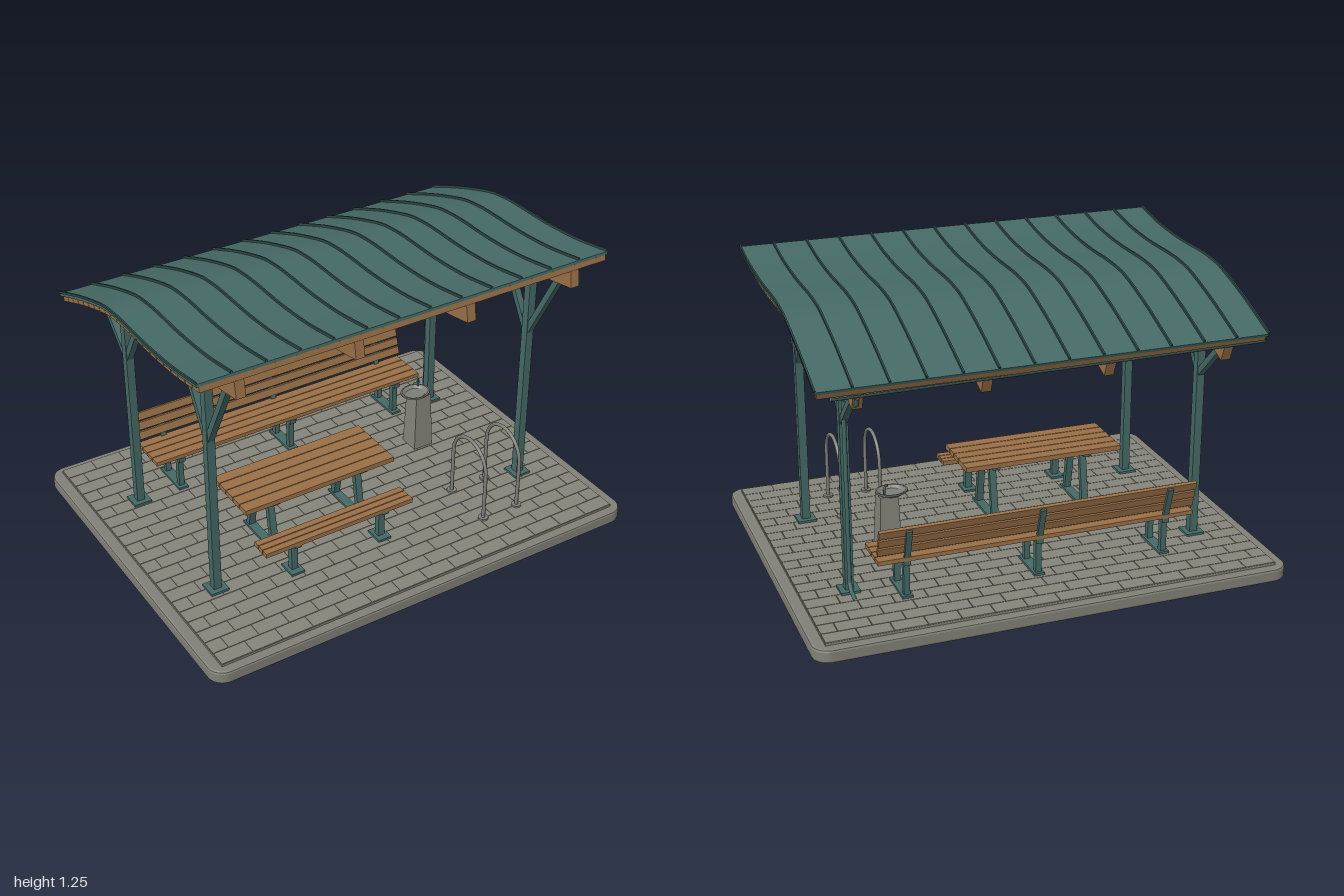
import * as THREE from 'three';
import { mergeGeometries, toCreasedNormals } from 'three/addons/utils/BufferGeometryUtils.js';

const paint = (name, color, side = THREE.FrontSide) => {
  const m = new THREE.MeshStandardMaterial({ color, side });
  m.name = name;
  return m;
};
const V = (x, y, z) => new THREE.Vector3(x, y, z);

export function createModel() {
  const teal = paint('teal steel', 0x466a66);
  const tealSheet = paint('gutter teal', 0x466a66, THREE.DoubleSide);
  const seamTeal = paint('dark seam teal', 0x2f4d4a);
  const wood = paint('wood', 0x9a7147);
  const stone = paint('paving', 0x86857b);
  const curb = paint('kerb concrete', 0x828178);
  const metal = paint('brushed metal', 0x7c7e78);
  const dark = paint('dark metal', 0x4c5350);

  const root = new THREE.Group();
  root.name = 'picnicShelter';
  const group = (name) => {
    const g = new THREE.Group();
    g.name = name;
    root.add(g);
    return g;
  };
  const add = (parent, name, geo, mat, x = 0, y = 0, z = 0) => {
    const m = new THREE.Mesh(geo, mat);
    m.name = name;
    m.position.set(x, y, z);
    parent.add(m);
    return m;
  };
  const box = (p, name, mat, w, h, d, x, y, z) =>
    add(p, name, new THREE.BoxGeometry(w, h, d), mat, x, y, z);
  // straight bar from a to b, w wide in x, d thick
  const bar = (p, name, mat, a, b, w, d) => {
    const dir = b.clone().sub(a);
    const m = add(p, name, new THREE.BoxGeometry(w, dir.length(), d), mat);
    m.position.copy(a).add(b).multiplyScalar(0.5);
    m.quaternion.setFromUnitVectors(V(0, 1, 0), dir.normalize());
    return m;
  };
  const tube = (p, name, mat, pts, r, n = 32) => {
    const path = new THREE.CurvePath();
    for (let i = 0; i < pts.length - 1; i++) path.add(new THREE.LineCurve3(pts[i], pts[i + 1]));
    return add(p, name, new THREE.TubeGeometry(path, n, r, 8), mat);
  };

  // Ground slab with rounded corners
  const base = group('base');
  const slab = (w, d, r, h, bevel) => {
    const s = new THREE.Shape(), a = w / 2 - bevel, b = d / 2 - bevel;
    s.absarc(a - r, b - r, r, 0, Math.PI / 2);
    s.absarc(r - a, b - r, r, Math.PI / 2, Math.PI);
    s.absarc(r - a, r - b, r, Math.PI, Math.PI * 1.5);
    s.absarc(a - r, r - b, r, Math.PI * 1.5, Math.PI * 2);
    return new THREE.ExtrudeGeometry(s, {
      depth: h - 2 * bevel, bevelSize: bevel, bevelThickness: bevel, bevelSegments: 2, curveSegments: 6,
    }).rotateX(-Math.PI / 2).translate(0, bevel, 0);
  };
  add(base, 'kerb', slab(2, 1.55, 0.06, 0.057, 0.01), curb);
  box(base, 'mortarBed', stone, 1.9, 0.02, 1.47, 0, 0.057, 0);
  // Pavers in running bond
  const bricks = [], rowD = 1.47 / 21, brickW = 1.9 / 14;
  for (let r = 0; r < 21; r++) {
    for (let c = 0; c <= 14; c++) {
      const x0 = Math.max(-0.95, -0.95 + (c - (r % 2) / 2) * brickW);
      const x1 = Math.min(0.95, -0.95 + (c + 1 - (r % 2) / 2) * brickW);
      if (x1 - x0 < 0.01) continue;
      bricks.push(new THREE.BoxGeometry(x1 - x0 - 0.003, 0.01, rowD - 0.003)
        .translate((x0 + x1) / 2, 0.065, -0.735 + (r + 0.5) * rowD));
    }
  }
  add(base, 'pavers', mergeGeometries(bricks), stone);

  // Roof: all layers follow one curve, offset along its normal
  const roof = group('roof');
  const curve = new THREE.SplineCurve([
    [-0.585, 1.24], [-0.4, 1.209], [-0.2, 1.194], [0, 1.193], [0.1, 1.187],
    [0.2, 1.17], [0.4, 1.106], [0.615, 1.022],
  ].map(([u, v]) => new THREE.Vector2(u, v)));
  const offset = (t, d) => {
    const p = curve.getPointAt(t), k = curve.getTangentAt(t);
    return new THREE.Vector2(p.x - k.y * d, p.y + k.x * d);
  };
  const ribbon = (lo, hi, width) => {
    const N = 40, pts = [];
    for (let i = 0; i <= N; i++) pts.push(offset(i / N, lo));
    for (let i = N; i >= 0; i--) pts.push(offset(i / N, hi));
    const g = new THREE.ExtrudeGeometry(new THREE.Shape(pts), { depth: width, bevelEnabled: false });
    return toCreasedNormals(g.translate(0, 0, -width / 2).rotateY(Math.PI / 2), 0.5);
  };
  add(roof, 'roofSheet', ribbon(-0.012, 0, 1.845), teal);
  const seam = ribbon(0, 0.01, 0.007);
  for (let i = 0; i < 14; i++) add(roof, 'standingSeam', seam, seamTeal, -0.922 + i * 0.1418);
  const rafter = ribbon(-0.107, -0.035, 0.04);
  for (const x of [-0.755, -0.252, 0.252, 0.755]) add(roof, 'rafter', rafter, wood, x);
  const battens = 22, pitch = curve.getLength() / battens;
  for (let i = 0; i < battens; i++) {
    const t = (i + 0.5) / battens, p = offset(t, -0.0245), k = curve.getTangentAt(t);
    box(roof, 'batten', wood, 1.825, 0.023, pitch - 0.004, 0, p.y, -p.x)
      .rotation.x = Math.atan2(k.y, k.x);
  }

  // Gutter and downpipe
  const gutter = add(roof, 'gutter',
    new THREE.CylinderGeometry(0.017, 0.017, 1.77, 10, 1, true, -Math.PI / 2, Math.PI)
      .rotateX(Math.PI / 2).rotateY(Math.PI / 2), tealSheet, -0.025, 0.997, -0.6);
  gutter.rotation.z = -0.005;
  tube(roof, 'downpipe', teal, [
    V(0.76, 0.975, -0.6), V(0.76, 0.94, -0.585), V(0.76, 0.905, -0.41), V(0.76, 0.895, -0.4),
    V(0.76, 0.12, -0.4), V(0.76, 0.095, -0.42), V(0.76, 0.083, -0.48),
  ], 0.009, 120);

  // Posts with forked braces
  const posts = group('posts');
  for (const x of [-0.755, 0.755]) {
    for (const [z, top, zf, yf, zb, yb] of [
      [0.33, 1.11, 0.51, 1.135, 0.14, 1.11],
      [-0.36, 1.04, -0.175, 1.1, -0.55, 0.975],
    ]) {
      box(posts, 'postFoot', teal, 0.08, 0.01, 0.08, x, 0.075, z);
      box(posts, 'post', teal, 0.035, top - 0.07, 0.035, x, (top + 0.07) / 2, z);
      bar(posts, 'brace', teal, V(x, 0.79, z), V(x, yf, zf), 0.028, 0.026);
      bar(posts, 'brace', teal, V(x, 0.79, z), V(x, yb, zb), 0.028, 0.026);
    }
  }

  // Row of slats between two z values
  const slats = (p, name, n, x, len, y, h, z0, z1) => {
    const d = (z1 - z0) / n;
    for (let i = 0; i < n; i++) box(p, name, wood, len, h, d - 0.004, x, y, z0 + (i + 0.5) * d);
  };

  // Long bench with back
  const bench = group('longBench');
  slats(bench, 'seatSlat', 4, 0, 1.35, 0.242, 0.018, -0.515, -0.33);
  for (let i = 0; i < 3; i++) {
    const s = box(bench, 'backSlat', wood, 1.35, 0.034, 0.016, 0, 0.29 + i * 0.041, -0.505 - i * 0.0125);
    s.rotation.x = -0.29;
  }
  for (const x of [-0.555, 0, 0.555]) {
    box(bench, 'benchFoot', teal, 0.045, 0.01, 0.18, x, 0.075, -0.42);
    box(bench, 'seatBearer', teal, 0.03, 0.02, 0.18, x, 0.223, -0.42);
    for (const z of [-0.36, -0.485]) box(bench, 'benchLeg', teal, 0.025, 0.15, 0.025, x, 0.15, z);
    bar(bench, 'backBearer', teal, V(x, 0.225, -0.5), V(x, 0.378, -0.545), 0.025, 0.012);
  }

  // Picnic table and its small bench
  const table = group('table');
  const stool = group('sideBench');
  slats(table, 'tableSlat', 5, -0.225, 0.71, 0.339, 0.022, 0, 0.28);
  slats(stool, 'sideBenchSlat', 3, -0.23, 0.7, 0.23, 0.02, 0.34, 0.44);
  for (const x of [-0.43, -0.01]) {
    box(table, 'tableFoot', teal, 0.04, 0.01, 0.255, x, 0.075, 0.14);
    box(table, 'tableBearer', teal, 0.035, 0.014, 0.25, x, 0.321, 0.14);
    for (const s of [-1, 1])
      bar(table, 'tableLeg', teal, V(x, 0.075, 0.14 + s * 0.1), V(x, 0.318, 0.14 + s * 0.06), 0.03, 0.024);
    box(stool, 'sideBenchFoot', teal, 0.06, 0.01, 0.085, x, 0.075, 0.39);
    box(stool, 'sideBenchLeg', teal, 0.03, 0.14, 0.028, x, 0.145, 0.39);
    box(stool, 'sideBenchBearer', teal, 0.03, 0.012, 0.09, x, 0.214, 0.39);
  }

  // Drinking fountain
  const fountain = group('drinkingFountain');
  add(fountain, 'pedestal', new THREE.CylinderGeometry(0.055, 0.066, 0.265, 4, 1)
    .rotateY(Math.PI / 4).toNonIndexed(), stone, 0.51, 0.2025, -0.092).geometry.computeVertexNormals();
  const bowl = [[0.001, 0.326], [0.04, 0.33], [0.057, 0.342], [0.057, 0.349], [0.051, 0.349], [0.038, 0.338], [0.001, 0.336]];
  add(fountain, 'bowl', toCreasedNormals(
    new THREE.LatheGeometry(bowl.map(([r, y]) => new THREE.Vector2(r, y)), 24), 0.6), metal, 0.49, 0, -0.092)
    .scale.x = 1.2;
  const spout = new THREE.CatmullRomCurve3([
    V(0.53, 0.335, -0.128), V(0.53, 0.37, -0.128), V(0.525, 0.382, -0.122), V(0.512, 0.378, -0.108),
  ]);
  add(fountain, 'spout', new THREE.TubeGeometry(spout, 16, 0.005, 8), dark);

  // Bicycle hoops
  const racks = group('bicycleHoops');
  for (const x of [0.427, 0.602]) {
    const pts = [V(x, 0.07, 0.525)];
    for (let i = 0; i <= 16; i++) {
      const a = (i / 16) * Math.PI;
      pts.push(V(x, 0.29 + 0.115 * Math.sin(a), 0.41 + 0.115 * Math.cos(a)));
    }
    pts.push(V(x, 0.07, 0.295));
    const path = new THREE.CatmullRomCurve3(pts, false, 'centripetal');
    add(racks, 'hoop', new THREE.TubeGeometry(path, 64, 0.008, 10), metal);
    for (const z of [0.295, 0.525])
      add(racks, 'hoopFoot', new THREE.CylinderGeometry(0.022, 0.022, 0.008, 16), metal, x, 0.074, z);
  }
  return root;
}
